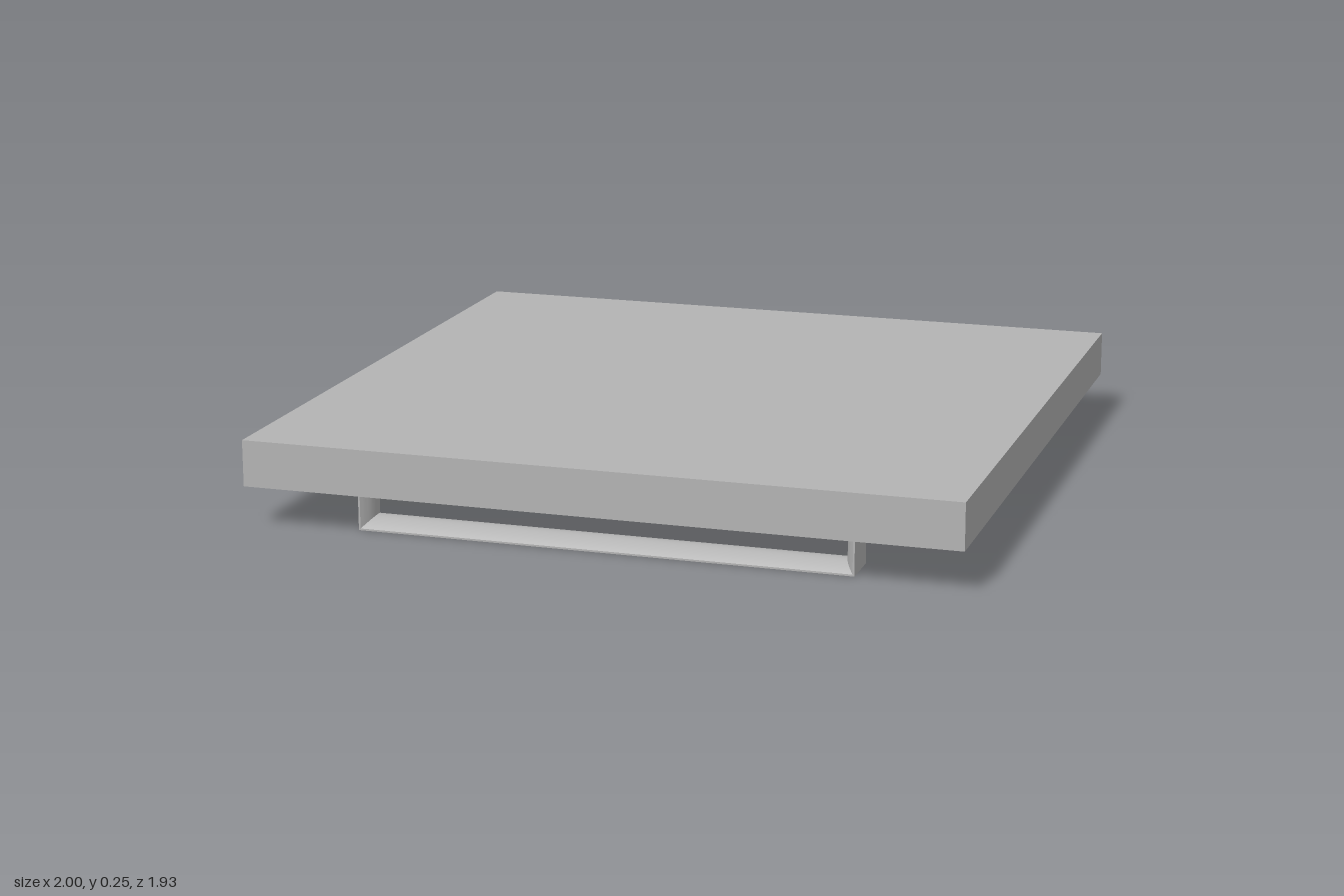
import * as THREE from 'three';
import { toCreasedNormals } from 'three/addons/utils/BufferGeometryUtils.js';

// Mitred U-shaped pull: flat outside, domed inside
function pullGeometry(halfWidth, topY, z, halfDepth, rim, rise) {
  const steps = 16;
  const profile = [[halfDepth, 0]];
  for (let i = 0; i <= steps; i++) {
    const t = 1 - (2 * i) / steps;
    profile.push([t * halfDepth, rim + rise * (1 - t * t)]);
  }
  profile.push([-halfDepth, 0]);

  // Stations: left post top, left corner, right corner, right post top
  const stations = [[-1, true], [-1, false], [1, false], [1, true]];
  const positions = [];
  const indices = [];
  const n = profile.length;
  for (const [side, atTop] of stations) {
    for (const [dz, d] of profile) {
      positions.push(side * (halfWidth - d), atTop ? topY : d, z + dz);
    }
  }
  for (let s = 0; s < stations.length - 1; s++) {
    for (let i = 0; i < n; i++) {
      const j = (i + 1) % n;
      const a = s * n + i, b = a + n, c = s * n + j, e = c + n;
      indices.push(a, b, c, b, e, c);
    }
  }
  const geometry = new THREE.BufferGeometry();
  geometry.setAttribute('position', new THREE.Float32BufferAttribute(positions, 3));
  geometry.setIndex(indices);
  return toCreasedNormals(geometry, 0.5);
}

export function createModel() {
  const group = new THREE.Group();
  group.name = 'panelWithHandle';
  const grey = new THREE.MeshStandardMaterial({ color: 0xb3b3b3 });
  grey.name = 'grey';

  // Flat slab
  const panel = new THREE.Mesh(new THREE.BoxGeometry(2, 0.13, 1.93), grey);
  panel.name = 'panel';
  panel.position.y = 0.182;
  group.add(panel);

  // Pull under the front edge, its posts sunk slightly into the slab
  const handle = new THREE.Mesh(pullGeometry(0.695, 0.125, 0.835, 0.06, 0.005, 0.027), grey);
  handle.name = 'handle';
  group.add(handle);

  return group;
}
